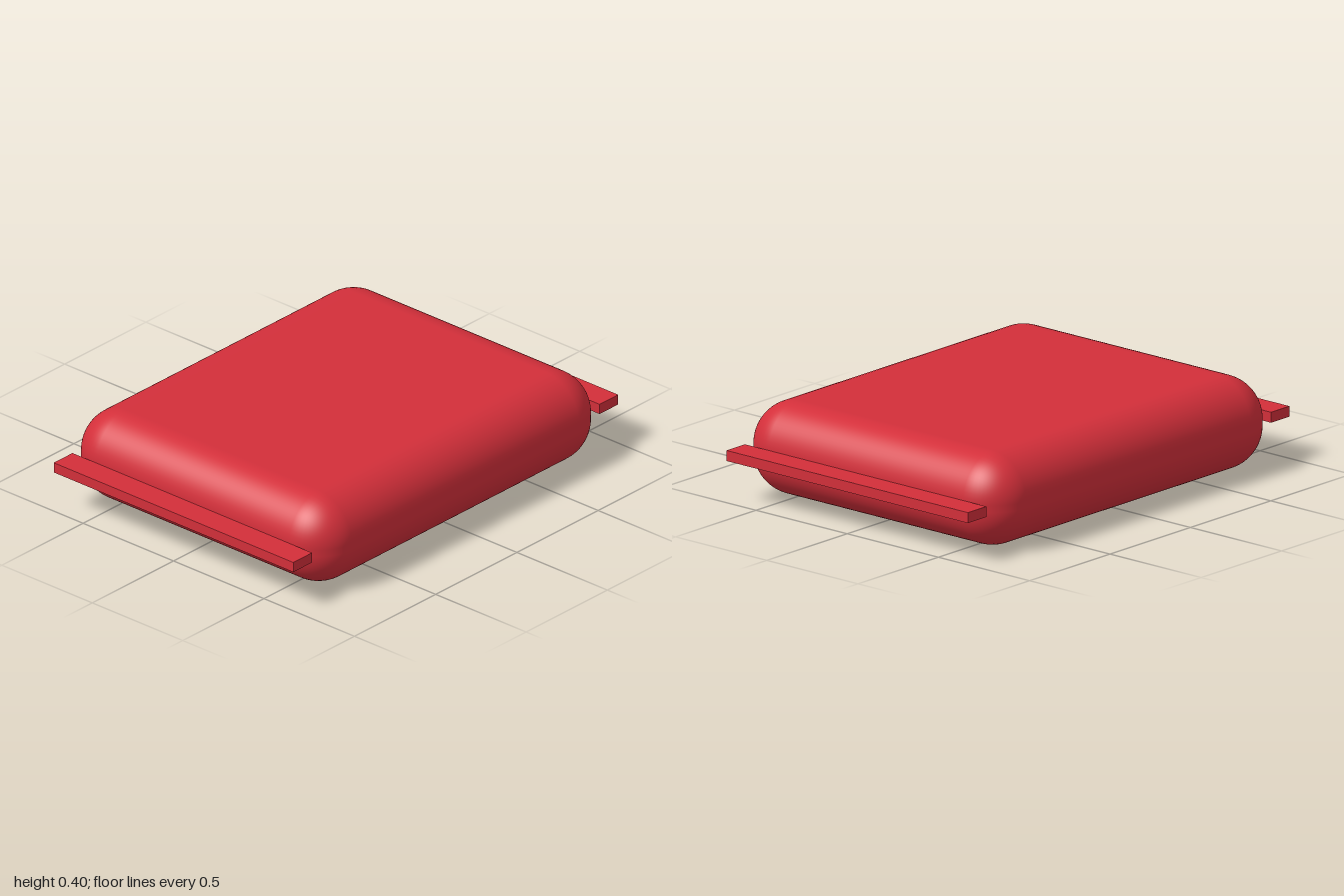
import * as THREE from 'three';
import { RoundedBoxGeometry } from 'three/addons/geometries/RoundedBoxGeometry.js';

export function createModel() {
  const group = new THREE.Group();
  const red = new THREE.MeshStandardMaterial({ color: 0xd32f3a });

  // Soft cushion-like body
  const body = new THREE.Mesh(new RoundedBoxGeometry(1.77, 0.4, 1.434, 8, 0.185), red);
  body.name = 'body';
  body.position.y = 0.2;
  group.add(body);

  // Thin flat rail along each side
  for (const [name, side] of [['leftRail', 1], ['rightRail', -1]]) {
    const rail = new THREE.Mesh(new THREE.BoxGeometry(0.115, 0.045, 1.324), red);
    rail.name = name;
    rail.position.set(side * 0.9425, 0.202, 0);
    group.add(rail);
  }
  return group;
}
